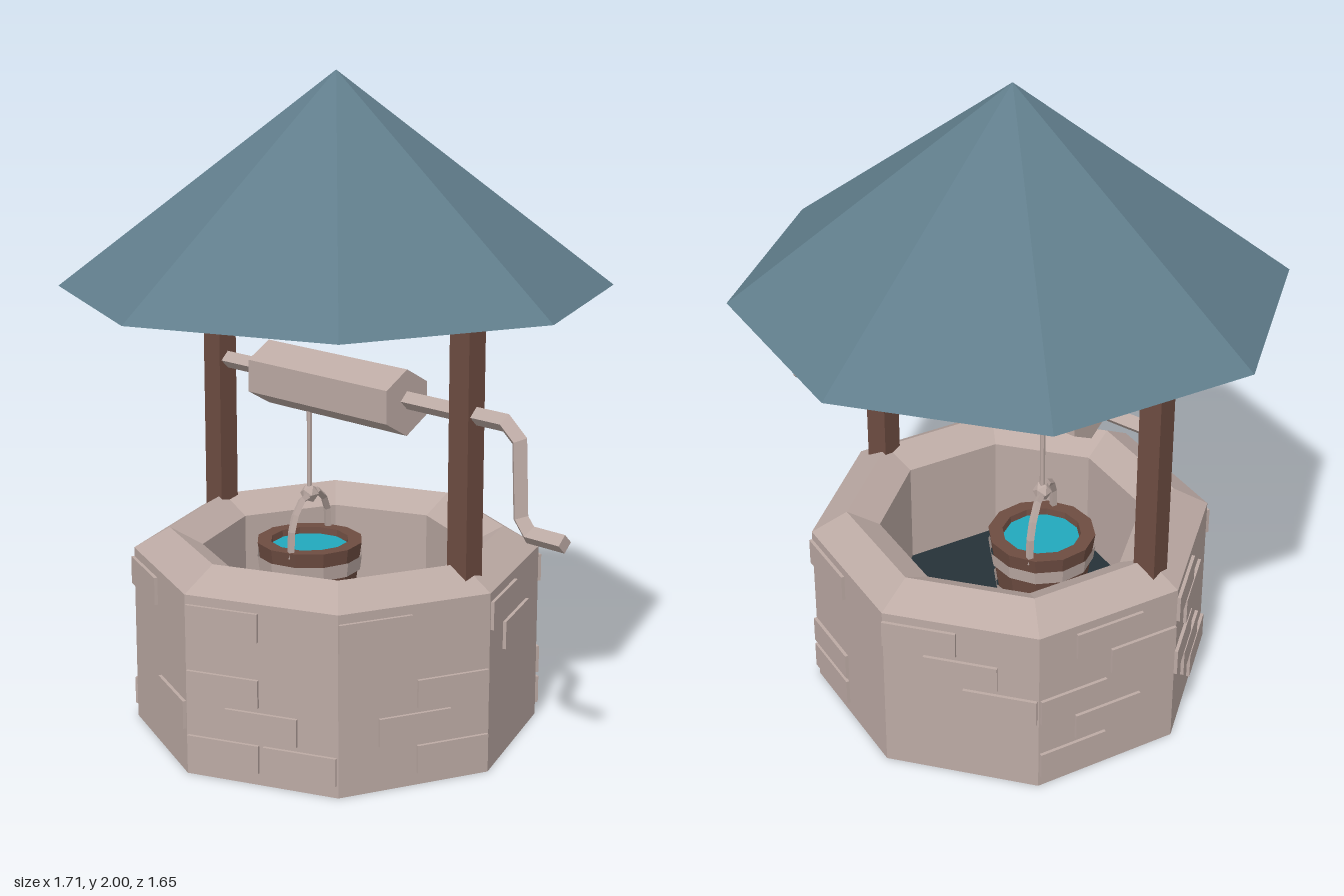
import * as THREE from 'three';

const mat = (name, color, side = THREE.FrontSide) => {
  const m = new THREE.MeshStandardMaterial({ color, flatShading: true, side });
  m.name = name;
  return m;
};

// Sweeps a diamond section along a path lying in the XY plane, with mitred corners
function diamondSweep(path, r) {
  const pts = path.map(([x, y]) => new THREE.Vector2(x, y));
  const pos = [], idx = [], last = pts.length - 1;
  pts.forEach((p, i) => {
    const a = pts[Math.max(i, 1)].clone().sub(pts[Math.max(i, 1) - 1]).normalize();
    const j = Math.min(i, last - 1);
    const b = pts[j + 1].clone().sub(pts[j]).normalize();
    const t = a.clone().add(b).normalize();
    const k = r / Math.max(0.5, t.dot(a));
    const nx = -t.y * k, ny = t.x * k;
    pos.push(p.x + nx, p.y + ny, 0, p.x, p.y, r, p.x - nx, p.y - ny, 0, p.x, p.y, -r);
  });
  for (let i = 0; i < last; i++) {
    for (let s = 0; s < 4; s++) {
      const a = i * 4 + s, b = i * 4 + (s + 1) % 4;
      idx.push(a, b, a + 4, b, b + 4, a + 4);
    }
  }
  const e = last * 4;
  idx.push(0, 2, 1, 0, 3, 2, e, e + 1, e + 2, e, e + 2, e + 3);
  const g = new THREE.BufferGeometry();
  g.setAttribute('position', new THREE.Float32BufferAttribute(pos, 3));
  g.setIndex(idx);
  g.computeVertexNormals();
  return g;
}

const lathe = (profile, sides) =>
  new THREE.LatheGeometry(profile.map(([x, y]) => new THREE.Vector2(x, y)), sides);

export function createModel() {
  const model = new THREE.Group();
  model.name = 'well';
  const stone = mat('stone', 0xbcaaa4, THREE.DoubleSide);
  const wood = mat('wood', 0x6d4c41, THREE.DoubleSide);
  const slate = mat('roofSlate', 0x607d8b);
  const dark = mat('wellBottom', 0x263238, THREE.DoubleSide);
  const water = mat('water', 0x22a8bc);
  const CX = -0.03;

  const add = (name, geo, material, x = 0, y = 0, z = 0, parent = model) => {
    const m = new THREE.Mesh(geo, material);
    m.name = name;
    m.position.set(x, y, z);
    parent.add(m);
    return m;
  };

  // Octagonal wall with a ridged rim, open underneath
  add('wall', lathe([[0.62, 0], [0.62, 0.55], [0.51, 0.615], [0.41, 0.56], [0.41, 0.225]], 8), stone, CX);
  add('wellFloor', new THREE.CircleGeometry(0.42, 8).rotateX(-Math.PI / 2), dark, CX, 0.225);

  // Raised bricks per wall face: normal angle, then [row, offset along the face]
  const faces = [
    [22.5, [[4, -0.125], [2, 0.12], [1, 0], [0, 0.12]]],
    [67.5, [[4, -0.12], [2, -0.12], [1, 0], [0, -0.12], [0, 0.12]]],
    [112.5, [[4, -0.125], [1, 0.12]]],
    [157.5, [[4, -0.125], [3, 0], [2, -0.125], [1, 0], [0, 0.12]]],
    [202.5, [[4, 0], [3, 0.12], [2, -0.12], [1, 0], [0, -0.12]]],
    [247.5, [[4, -0.125], [3, 0], [2, 0.12]]],
    [292.5, [[4, -0.125], [1, -0.125], [0, -0.125]]],
    [337.5, [[4, -0.12], [3, 0]]],
  ];
  const brickGeo = new THREE.BoxGeometry(0.225, 0.085, 0.06);
  const bricks = new THREE.Group();
  bricks.name = 'bricks';
  bricks.position.x = CX;
  model.add(bricks);
  for (const [deg, list] of faces) {
    const a = THREE.MathUtils.degToRad(deg), c = Math.cos(a), s = Math.sin(a);
    for (const [row, u] of list) {
      const b = add('brick', brickGeo, stone, c * 0.553 + s * u, 0.08 + row * 0.1, s * 0.553 - c * u, bricks);
      b.rotation.y = Math.PI / 2 - a;
    }
  }

  // Posts and roof
  for (const side of [-1, 1]) {
    add('post', new THREE.BoxGeometry(0.073, 0.82, 0.07), wood, CX + side * 0.519, 0.97);
  }
  add('roof', new THREE.ConeGeometry(0.825, 0.635, 8), slate, CX, 1.6825);

  // Winding drum, axle and crank
  const drum = new THREE.CylinderGeometry(0.1, 0.1, 0.583, 6).rotateY(Math.PI / 6).rotateZ(Math.PI / 2);
  add('drum', drum, stone, -0.033, 1.055);
  add('crank', diamondSweep([[-0.55, 1.063], [0.635, 1.063], [0.685, 1.02], [0.695, 0.8],
    [0.73, 0.757], [0.853, 0.757]], 0.027), stone);

  // Rope and bucket
  const bucket = new THREE.Group();
  bucket.name = 'bucket';
  bucket.position.x = -0.147;
  model.add(bucket);
  add('rope', new THREE.CylinderGeometry(0.008, 0.008, 0.3, 6), stone, 0, 0.84, 0, bucket);
  add('knot', new THREE.IcosahedronGeometry(0.03, 0), stone, 0, 0.697, 0, bucket);
  add('bucketBody', lathe([[0, 0.3], [0.13, 0.3], [0.166, 0.55], [0.122, 0.55], [0.115, 0.51]], 12), wood, 0, 0, 0, bucket);
  add('bucketWater', new THREE.CircleGeometry(0.12, 12).rotateX(-Math.PI / 2), water, 0, 0.53, 0, bucket);
  for (const y of [0.365, 0.485]) {
    const r = 0.137 + (y - 0.3) * 0.144;
    add('bucketBand', new THREE.CylinderGeometry(r + 0.003, r - 0.003, 0.045, 12, 1, true), stone, 0, y, 0, bucket);
  }
  const handle = add('bucketHandle', diamondSweep([[-0.15, 0.53], [-0.142, 0.61], [-0.115, 0.655], [-0.06, 0.69],
    [0.06, 0.69], [0.115, 0.655], [0.142, 0.61], [0.15, 0.53]], 0.012), stone, 0, 0, 0, bucket);
  handle.rotation.y = -THREE.MathUtils.degToRad(67.5);

  return model;
}
